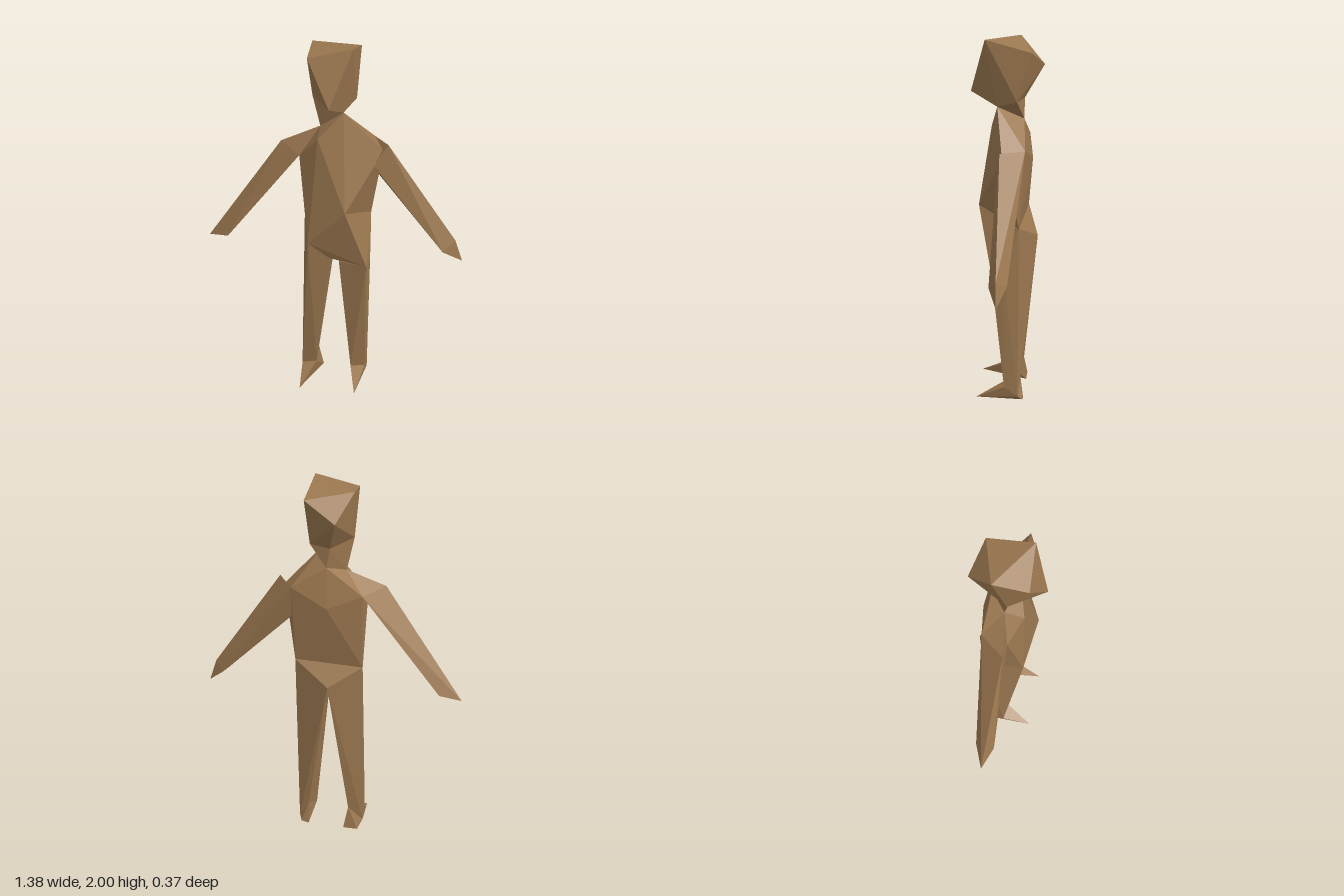
import * as THREE from 'three';
import { ConvexGeometry } from 'three/addons/geometries/ConvexGeometry.js';

export function createModel() {
  const model = new THREE.Group();
  const clay = new THREE.MeshStandardMaterial({ color: 0x9c7850 });
  clay.name = 'clay brown';

  // Each body part is a faceted hull stretched over a few corner points
  const part = (name, ...points) => {
    const geometry = new ConvexGeometry(points.map((p) => new THREE.Vector3(...p)));
    const mesh = new THREE.Mesh(geometry, clay);
    mesh.name = name;
    model.add(mesh);
  };

  // Corners shared by neighbouring parts
  const throat = [0.06, 1.645, 0.045], nape = [0.02, 1.575, -0.09];
  const collar = [-0.065, 1.505, 0.088], neckSide = [-0.07, 1.54, -0.01];
  const jawLeft = [0.11, 1.685, -0.06], jawRight = [-0.105, 1.71, 0.01];
  const skullBase = [0, 1.68, -0.09];
  const bladeLeft = [0.2, 1.46, -0.11], bladeRight = [-0.17, 1.44, -0.105];
  const armpitLeft = [0.215, 1.355, 0.03], armpitRight = [-0.175, 1.38, 0.025];
  const ribLeft = [0.2, 1.29, -0.08];
  const waistLeft = [0.19, 1.035, -0.08], waistRight = [-0.175, 1.035, -0.1];
  const belly = [0.085, 1.12, 0.14], hipRight = [-0.12, 0.905, 0.1];
  const hipLeft = [0.19, 0.77, 0.065], crotch = [-0.01, 0.81, 0.07];
  const rump = [0, 0.925, -0.163];

  // Head and neck
  part('head', [0.115, 2, 0.1], [-0.11, 1.945, 0.115], [0.12, 1.94, -0.135],
    [-0.045, 1.845, -0.187], [-0.118, 1.975, -0.06], [0.01, 1.71, 0.185],
    jawLeft, jawRight, throat, skullBase);
  part('neck', throat, nape, neckSide, jawLeft, jawRight, skullBase);

  // Torso and hips
  part('torso', throat, nape, collar, neckSide, bladeLeft, bladeRight, armpitLeft, armpitRight,
    [0.26, 1.43, 0], [0.01, 1.365, -0.135], ribLeft, waistLeft, waistRight, belly, hipRight);
  part('hips', belly, hipRight, hipLeft, crotch, rump, waistLeft, waistRight);

  // Arms, tapering to a pointed hand
  part('leftArm', [0.285, 1.47, 0.01], bladeLeft, armpitLeft, ribLeft,
    [0.65, 0.94, -0.01], [0.6, 0.9, -0.06], [0.59, 0.885, 0.032], [0.69, 0.82, -0.015]);
  part('rightArm', [-0.27, 1.455, 0.02], bladeRight, armpitRight, neckSide,
    [-0.575, 0.89, -0.06], [-0.575, 0.87, 0.035], [-0.69, 0.845, -0.01]);

  // Legs
  const leftAnkle = [[0.1, 0.08, 0.01], [0.18, 0.09, 0], [0.18, 0.035, -0.075], [0.125, 0.13, -0.085]];
  const rightAnkle = [[-0.095, 0.09, 0.01], [-0.18, 0.065, 0], [-0.18, 0.05, -0.07], [-0.1, 0.13, -0.085]];
  part('leftLeg', waistLeft, rump, hipLeft, [0.2, 0.8, 0], [0.035, 0.77, 0.03], ...leftAnkle);
  part('rightLeg', waistRight, rump, hipRight, crotch, ...rightAnkle);

  // Feet, wedge shaped with pointed toes
  part('leftFoot', ...leftAnkle, [0.145, 0, 0.158], [0.125, 0, -0.1], [0.165, 0.01, -0.1]);
  part('rightFoot', ...rightAnkle, [-0.165, 0, 0.158], [-0.075, 0, -0.1], [-0.155, 0, -0.1]);

  return model;
}
